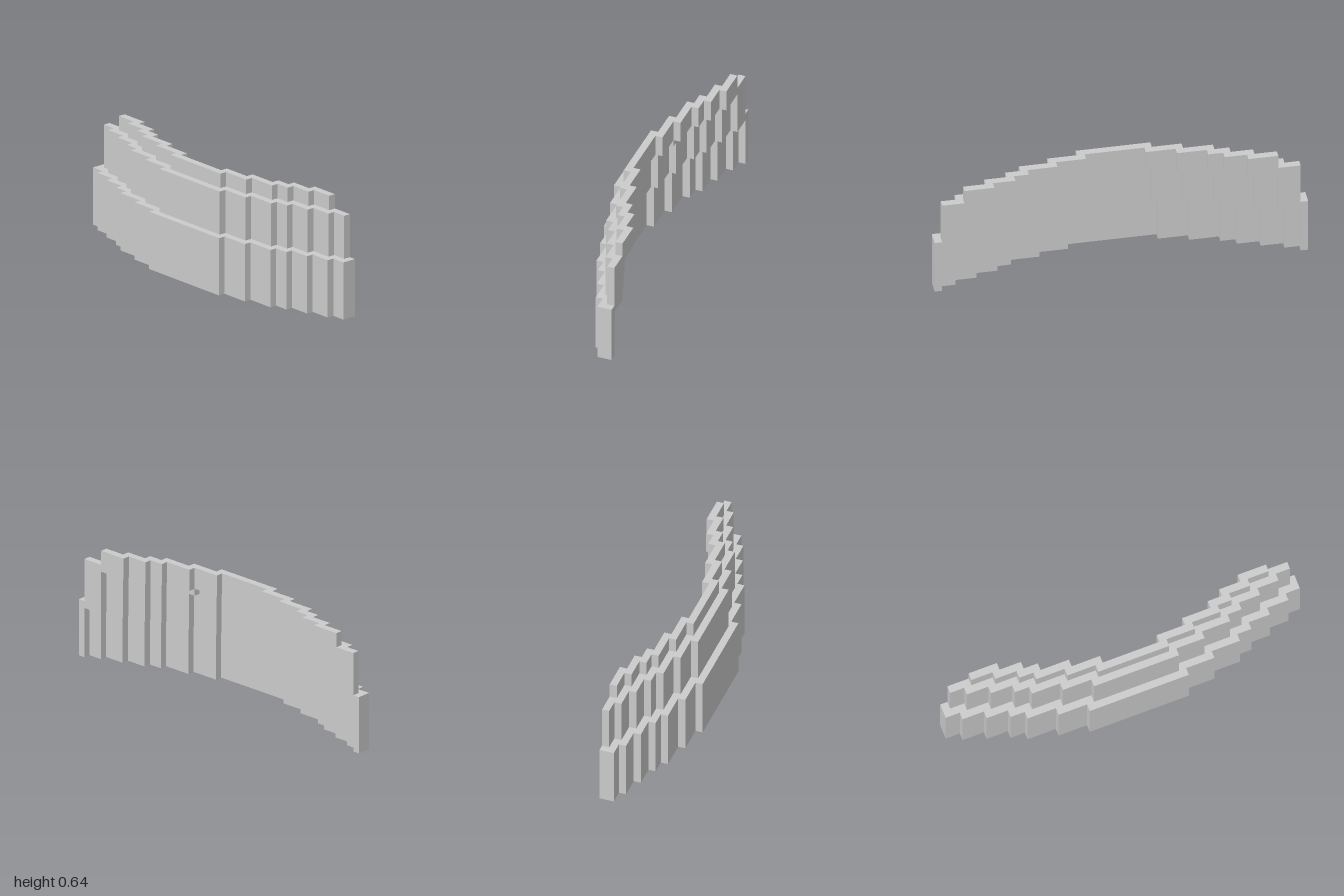
import * as THREE from 'three';

const U = 0.04; // block size

// Stepped half-profiles: half-width of each row, going back one block per row
const profiles = [
  { z: 4, w: [7, 11, 15, 17, 20, 23, 25] },
  { z: 3, w: [6, 10, 14, 16, 19, 22, 24] },
  { z: 2, w: [5, 9, 13, 15, 18, 21] },
  { z: 1, w: [4, 8, 12, 14, 17, 21] },
];

// Corner points of one stepped edge on the +x side, from centre to tip
function stepEdge({ z, w }, extra = []) {
  const pts = [];
  [...w, ...extra].forEach((half, i) => {
    if (i > 0) pts.push([pts[pts.length - 1][0], z - i]);
    pts.push([half, z - i]);
  });
  return pts;
}

// One curved wall layer between a front and a back stepped edge
function wallTier(name, front, back, backExtra, y0, y1, material) {
  const f = stepEdge(front);
  const b = stepEdge(back, backExtra);
  const mirror = (pts) => pts.map(([x, z]) => [-x, z]);
  const outline = [
    ...f, ...[...b].reverse(),
    ...mirror(b), ...mirror(f).reverse(),
  ];
  const shape = new THREE.Shape(outline.map(([x, z]) => new THREE.Vector2(x * U, -z * U)));
  const geometry = new THREE.ExtrudeGeometry(shape, { depth: (y1 - y0) * U, bevelEnabled: false });
  geometry.rotateX(-Math.PI / 2).translate(0, y0 * U, 0);
  const mesh = new THREE.Mesh(geometry, material);
  mesh.name = name;
  return mesh;
}

export function createModel() {
  const group = new THREE.Group();
  group.name = 'curvedWall';
  const material = new THREE.MeshStandardMaterial({ color: 0xcccccc, flatShading: true });
  const [a, b, c, d] = profiles;

  // Each upper tier sits behind the one below and overlaps it by one block
  group.add(
    wallTier('lowerTier', a, b, [25], 0, 8, material),
    wallTier('middleTier', b, c, [24], 7, 14, material),
    wallTier('upperTier', c, d, [], 13, 16, material),
  );

  // Single blocks tucked under the upper tier at the back
  for (const side of [-1, 1]) {
    const block = new THREE.Mesh(new THREE.BoxGeometry(U, U, U), material);
    block.name = side > 0 ? 'leftBackBlock' : 'rightBackBlock';
    block.position.set(side * 8.5 * U, 12.5 * U, 0.5 * U);
    group.add(block);
  }
  return group;
}
